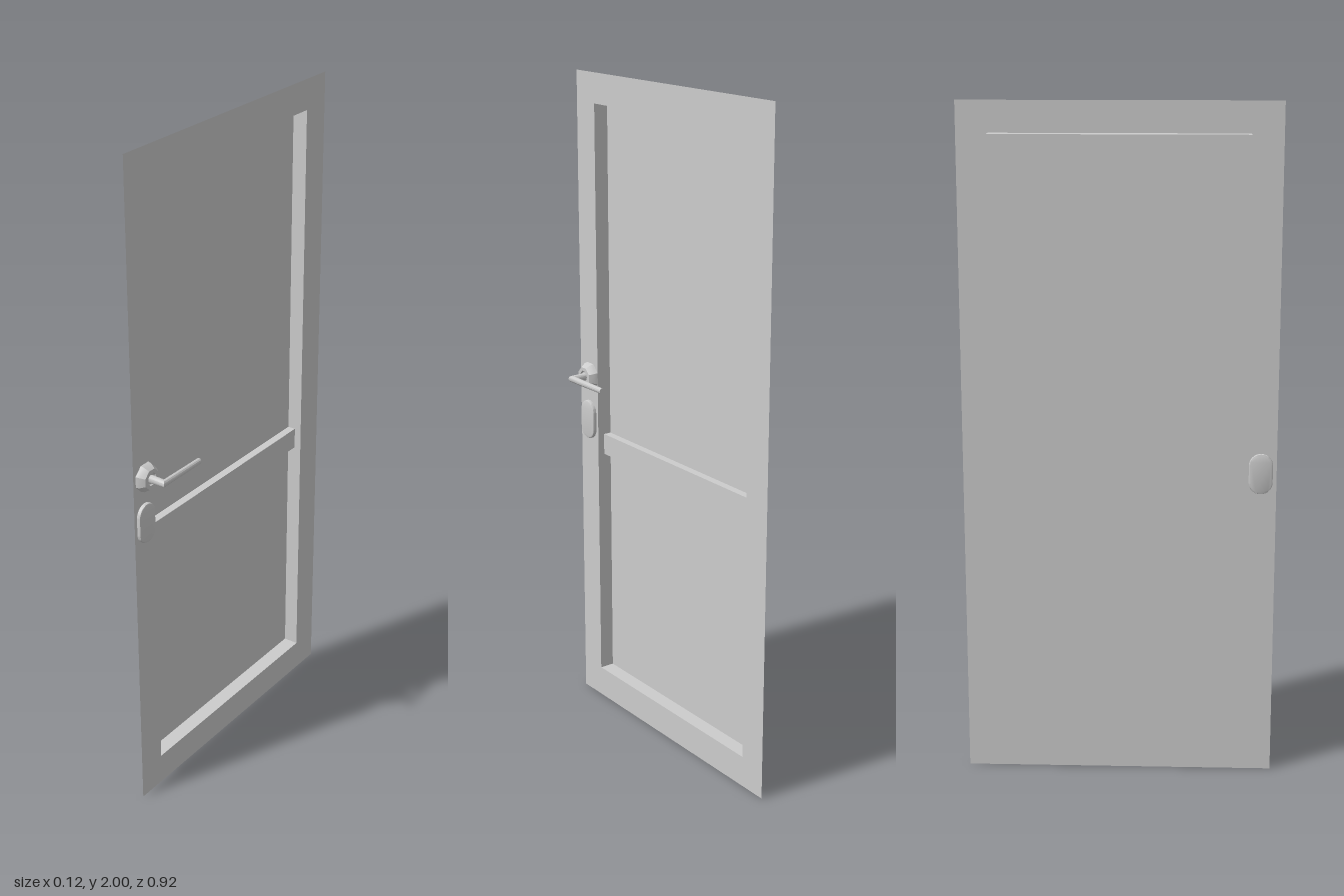
import * as THREE from 'three';
import { toCreasedNormals } from 'three/addons/utils/BufferGeometryUtils.js';

const material = new THREE.MeshStandardMaterial({ color: 0xcccccc });
const sheet = new THREE.MeshStandardMaterial({ color: 0xcccccc, side: THREE.DoubleSide });

// Built facing +z, then turned to face +x
const FACE = -0.0145, BACK = -0.06;
const W = 0.458, H = 2;
const IN_W = 0.367, IN_BOTTOM = 0.095, IN_TOP = 1.91;

function add(parent, name, geometry, mat = material) {
  const mesh = new THREE.Mesh(geometry, mat);
  mesh.name = name;
  parent.add(mesh);
  return mesh;
}

function rectangle(target, w, bottom, top) {
  target.moveTo(-w, bottom);
  target.lineTo(w, bottom);
  target.lineTo(w, top);
  target.lineTo(-w, top);
  target.closePath();
  return target;
}

// Sharp L-shaped lever: oval rings at the root, the mitred corner and the tip
function leverGeometry() {
  const n = 12, reach = 0.16, positions = [], index = [];
  for (let ring = 0; ring < 3; ring++) {
    for (let j = 0; j < n; j++) {
      const a = (j / n) * Math.PI * 2, c = Math.cos(a), s = Math.sin(a);
      positions.push(
        ring === 2 ? reach : 0.011 * c,
        [0.012, 0.0105, 0.009][ring] * s,
        ring === 0 ? 0.005 : 0.051 - 0.008 * c);
    }
  }
  for (let ring = 0; ring < 2; ring++) {
    for (let j = 0; j < n; j++) {
      const a = ring * n + j, b = ring * n + (j + 1) % n;
      index.push(a, b, b + n, a, b + n, a + n);
    }
  }
  // Tip cap
  positions.push(reach, 0, 0.051);
  for (let j = 0; j < n; j++) index.push(3 * n, 2 * n + j, 2 * n + (j + 1) % n);
  const g = new THREE.BufferGeometry();
  g.setAttribute('position', new THREE.Float32BufferAttribute(positions, 3));
  g.setIndex(index);
  return toCreasedNormals(g, 0.7);
}

export function createModel() {
  const root = new THREE.Group();
  root.name = 'door';
  const door = new THREE.Group();
  door.name = 'doorLeaf';
  door.rotation.y = Math.PI / 2;
  root.add(door);

  // Thin flat surround with the panel opening
  const outline = rectangle(new THREE.Shape(), W, 0, H);
  outline.holes.push(rectangle(new THREE.Path(), IN_W, IN_BOTTOM, IN_TOP));
  add(door, 'frame', new THREE.ShapeGeometry(outline), sheet).position.z = FACE;

  // Recessed panel and the four walls around it
  const depth = FACE - BACK, midZ = (FACE + BACK) / 2;
  const inH = IN_TOP - IN_BOTTOM, midY = (IN_TOP + IN_BOTTOM) / 2;
  add(door, 'panel', new THREE.PlaneGeometry(IN_W * 2, inH), sheet).position.set(0, midY, BACK);
  for (const side of [-1, 1]) {
    const wall = add(door, 'sideWall', new THREE.PlaneGeometry(depth, inH), sheet);
    wall.rotation.y = -side * Math.PI / 2;
    wall.position.set(side * IN_W, midY, midZ);
    const rail = add(door, side > 0 ? 'topWall' : 'bottomWall',
      new THREE.PlaneGeometry(IN_W * 2, depth), sheet);
    rail.rotation.x = side * Math.PI / 2;
    rail.position.set(0, midY + side * inH / 2, midZ);
  }

  // Cross bar dividing the recess, about half as deep
  const barDepth = 0.024;
  add(door, 'crossBar', new THREE.BoxGeometry(IN_W * 2, 0.065, barDepth))
    .position.set(0, 0.857, BACK + barDepth / 2);

  // Handle: tapered octagonal rose, collar and lever
  const handle = new THREE.Group();
  handle.name = 'handle';
  handle.position.set(-0.407, 1.073, 0);
  door.add(handle);
  const profile = [[0.044, FACE], [0.041, -0.004], [0.031, 0.01], [0.02, 0.01], [0.017, 0.006], [0, 0.006]]
    .map(([r, z]) => new THREE.Vector2(r, z));
  const rose = toCreasedNormals(new THREE.LatheGeometry(profile, 8, Math.PI / 8), 0.5);
  rose.rotateX(Math.PI / 2);
  add(handle, 'rose', rose, sheet);
  add(handle, 'lever', leverGeometry());

  // Rounded keyhole cover below the handle
  const r = 0.03, half = 0.026, bevel = 0.005;
  const oval = new THREE.Shape();
  oval.absarc(0, half, r, 0, Math.PI);
  oval.absarc(0, -half, r, Math.PI, Math.PI * 2);
  oval.closePath();
  const cover = new THREE.ExtrudeGeometry(oval, {
    depth: 0.006, bevelThickness: bevel, bevelSize: bevel, bevelSegments: 2, curveSegments: 10,
  });
  add(door, 'keyholeCover', toCreasedNormals(cover, 0.6)).position.set(-0.412, 0.932, FACE);

  return root;
}
